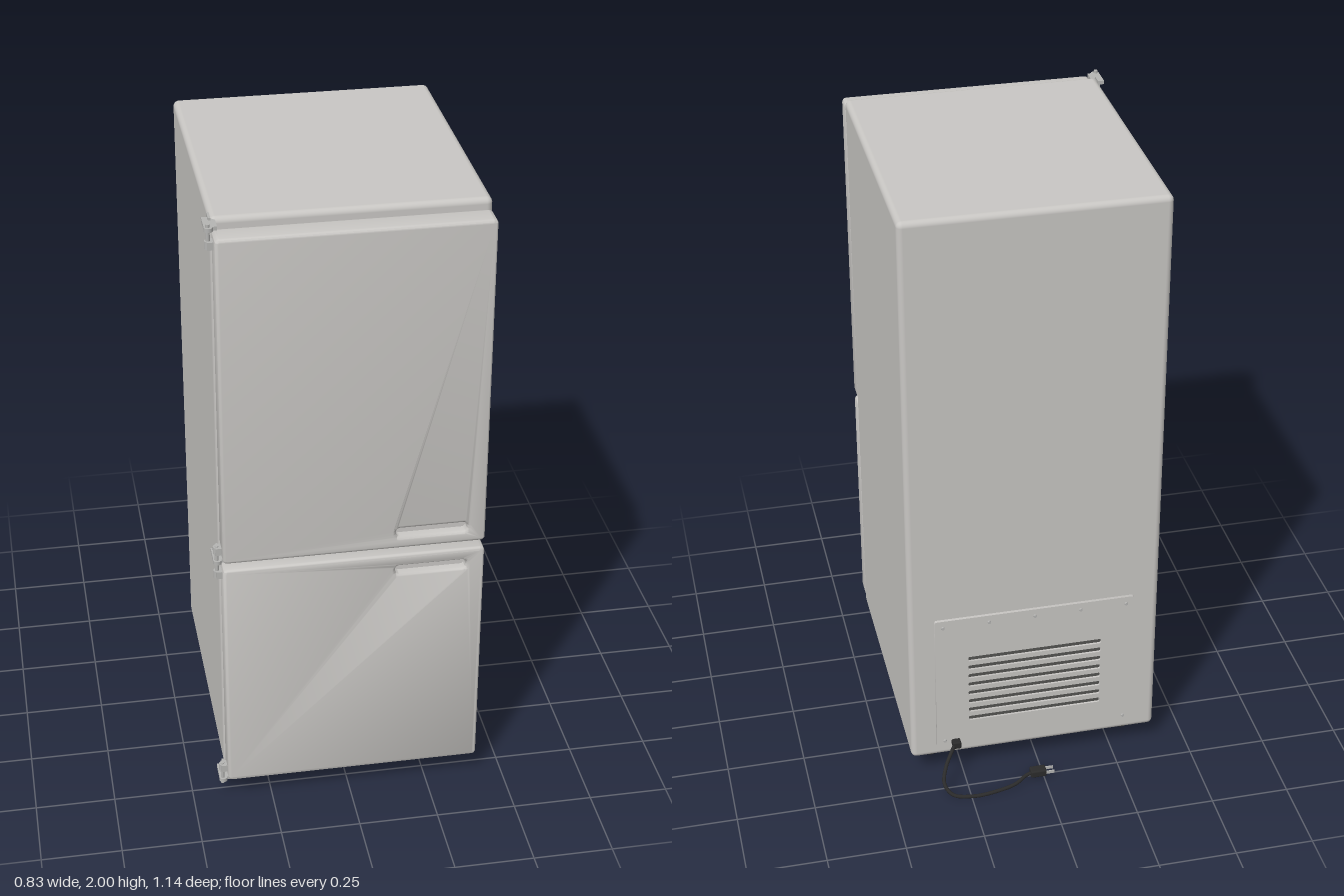
import * as THREE from 'three';
import { toCreasedNormals } from 'three/addons/utils/BufferGeometryUtils.js';
import { RoundedBoxGeometry } from 'three/addons/geometries/RoundedBoxGeometry.js';

const enamel = new THREE.MeshStandardMaterial({ color: 0xc8c6c3 });
enamel.name = 'light grey enamel';
const black = new THREE.MeshStandardMaterial({ color: 0x1c1c1c });
black.name = 'black base';
const rubber = new THREE.MeshStandardMaterial({ color: 0x2b2b2b });
rubber.name = 'dark rubber';
const metal = new THREE.MeshStandardMaterial({ color: 0xb4b4b2 });
metal.name = 'hinge metal';
const shade = new THREE.MeshStandardMaterial({ color: 0x545452 });
shade.name = 'vent grey';

const CX = 0.012; // middle of the cabinet, the hinges stand out on its right

function add(parent, name, geometry, material, x = 0, y = 0, z = 0) {
  const mesh = new THREE.Mesh(geometry, material);
  mesh.name = name;
  mesh.position.set(x, y, z);
  parent.add(mesh);
  return mesh;
}

function box(parent, name, material, x0, x1, y0, y1, z0, z1) {
  return add(parent, name, new THREE.BoxGeometry(x1 - x0, y1 - y0, z1 - z0), material,
    (x0 + x1) / 2, (y0 + y1) / 2, (z0 + z1) / 2);
}

// Rounded rectangle outline, used for plates and for holes
function roundRect(target, x0, x1, y0, y1, r) {
  target.moveTo(x0 + r, y0);
  target.lineTo(x1 - r, y0);
  target.absarc(x1 - r, y0 + r, r, -Math.PI / 2, 0, false);
  target.lineTo(x1, y1 - r);
  target.absarc(x1 - r, y1 - r, r, 0, Math.PI / 2, false);
  target.lineTo(x0 + r, y1);
  target.absarc(x0 + r, y1 - r, r, Math.PI / 2, Math.PI, false);
  target.lineTo(x0, y0 + r);
  target.absarc(x0 + r, y0 + r, r, Math.PI, Math.PI * 1.5, false);
  return target;
}

// Door with soft edges and a recessed grip
function door(name, y0, y1, gripY0, gripY1) {
  const group = new THREE.Group();
  group.name = name;
  const zBack = 0.487, zFront = 0.567, bevel = 0.011;
  const shape = roundRect(new THREE.Shape(), -0.39, 0.414, y0, y1, 0.014);
  shape.holes.push(roundRect(new THREE.Path(), 0.138, 0.357, gripY0 + 0.007, gripY1 - 0.007, 0.012));
  const slab = new THREE.ExtrudeGeometry(shape, {
    depth: zFront - zBack - 2 * bevel, bevelThickness: bevel, bevelSize: bevel,
    bevelOffset: -bevel, bevelSegments: 4, curveSegments: 6,
  });
  add(group, 'doorPanel', toCreasedNormals(slab, 0.6), enamel, 0, 0, zBack + bevel);
  box(group, 'gripRecessFloor', enamel, 0.125, 0.37, gripY0 - 0.005, gripY1 + 0.005, 0.5, 0.535);
  box(group, 'doorSeal', enamel, -0.34, 0.365, y0 + 0.04, y1 - 0.04, 0.478, 0.49);
  return group;
}

// Bracket fixed to the cabinet, with a pin through the knuckles on the doors
function hinge(name, plateY, knuckles) {
  const group = new THREE.Group();
  group.name = name;
  box(group, 'bracketPlate', metal, -0.414, -0.377, plateY - 0.006, plateY + 0.006, 0.457, 0.525);
  add(group, 'bracketEnd', new THREE.CylinderGeometry(0.013, 0.013, 0.012, 20), metal, -0.402, plateY, 0.525);
  box(group, 'bracketFlange', metal, -0.397, -0.39, plateY - 0.013, plateY + 0.013, 0.442, 0.482);
  for (const y of knuckles) {
    const mid = (y + plateY) / 2;
    add(group, 'hingePin', new THREE.CylinderGeometry(0.006, 0.006, Math.abs(y - plateY) + 0.03, 14),
      metal, -0.404, mid, 0.525);
    add(group, 'doorKnuckle', new THREE.CylinderGeometry(0.011, 0.011, 0.024, 18), metal, -0.404, y, 0.525);
    box(group, 'knuckleLeaf', metal, -0.408, -0.386, y - 0.012, y + 0.012, 0.51, 0.54);
  }
  return group;
}

// Back service cover with vent slots and screws
function backCover() {
  const group = new THREE.Group();
  group.name = 'backCover';
  const shape = roundRect(new THREE.Shape(), -0.311, 0.335, 0.11, 0.612, 0.008);
  for (let i = 0; i < 8; i++) {
    const y = 0.205 + i * 0.034;
    shape.holes.push(roundRect(new THREE.Path(), -0.205, 0.229, y, y + 0.017, 0.005));
  }
  const plate = new THREE.ExtrudeGeometry(shape, { depth: 0.011, bevelEnabled: false, curveSegments: 4 });
  add(group, 'coverPlate', toCreasedNormals(plate, 0.6), enamel, 0, 0, -0.425);
  box(group, 'ventBacking', shade, -0.215, 0.239, 0.195, 0.47, -0.418, -0.414);
  const screws = [];
  for (const x of [-0.285, 0.309]) for (const y of [0.135, 0.587]) screws.push([x, y]);
  for (let i = 1; i < 4; i++) screws.push([-0.285 + i * 0.1485, 0.587]);
  for (const [x, y] of screws) {
    const head = add(group, 'coverScrew', new THREE.CylinderGeometry(0.005, 0.006, 0.005, 12), metal, x, y, -0.427);
    head.rotation.x = -Math.PI / 2;
  }
  return group;
}

// Mains lead falling to the floor and ending in a two pin plug
function powerCord() {
  const group = new THREE.Group();
  group.name = 'powerCord';
  const path = new THREE.CatmullRomCurve3([
    [0.274, 0.125, -0.43], [0.295, 0.113, -0.46], [0.322, 0.08, -0.496], [0.333, 0.045, -0.53],
    [0.31, 0.017, -0.556], [0.245, 0.009, -0.568], [0.17, 0.008, -0.56], [0.1, 0.01, -0.54],
    [0.06, 0.016, -0.514], [0.035, 0.018, -0.506],
  ].map((p) => new THREE.Vector3(...p)));
  add(group, 'cord', new THREE.TubeGeometry(path, 64, 0.006, 10), rubber);
  add(group, 'cordSocket', new RoundedBoxGeometry(0.028, 0.026, 0.032, 2, 0.005), rubber, 0.273, 0.124, -0.432);
  add(group, 'plugBody', new RoundedBoxGeometry(0.052, 0.025, 0.033, 2, 0.005), rubber, 0.018, 0.018, -0.505);
  for (const z of [-0.516, -0.494]) box(group, 'plugPin', metal, -0.034, -0.005, 0.013, 0.023, z - 0.002, z + 0.002);
  return group;
}

export function createModel() {
  const model = new THREE.Group();
  model.name = 'refrigerator';

  // Cabinet
  add(model, 'cabinet', new RoundedBoxGeometry(0.81, 1.928, 0.897, 4, 0.018), enamel, CX, 1.035, 0.0335);

  // Base tray
  box(model, 'baseTray', black, -0.372, 0.396, 0.062, 0.078, -0.385, 0.462);
  box(model, 'baseTrayStep', black, -0.36, 0.384, 0.052, 0.066, -0.37, 0.45);

  // Feet
  for (const x of [-0.315, 0.336]) {
    for (const z of [-0.298, 0.414]) {
      add(model, 'foot', new THREE.CylinderGeometry(0.028, 0.026, 0.056, 24), rubber, x, 0.028, z);
    }
  }

  // Doors
  model.add(door('upperDoor', 0.9, 1.97, 0.932, 0.977));
  model.add(door('lowerDoor', 0.078, 0.876, 0.797, 0.842));

  // Hinges
  model.add(hinge('topHinge', 1.987, [1.94]));
  model.add(hinge('middleHinge', 0.888, [0.93, 0.846]));
  model.add(hinge('bottomHinge', 0.058, [0.107]));

  model.add(backCover());
  model.add(powerCord());
  return model;
}
